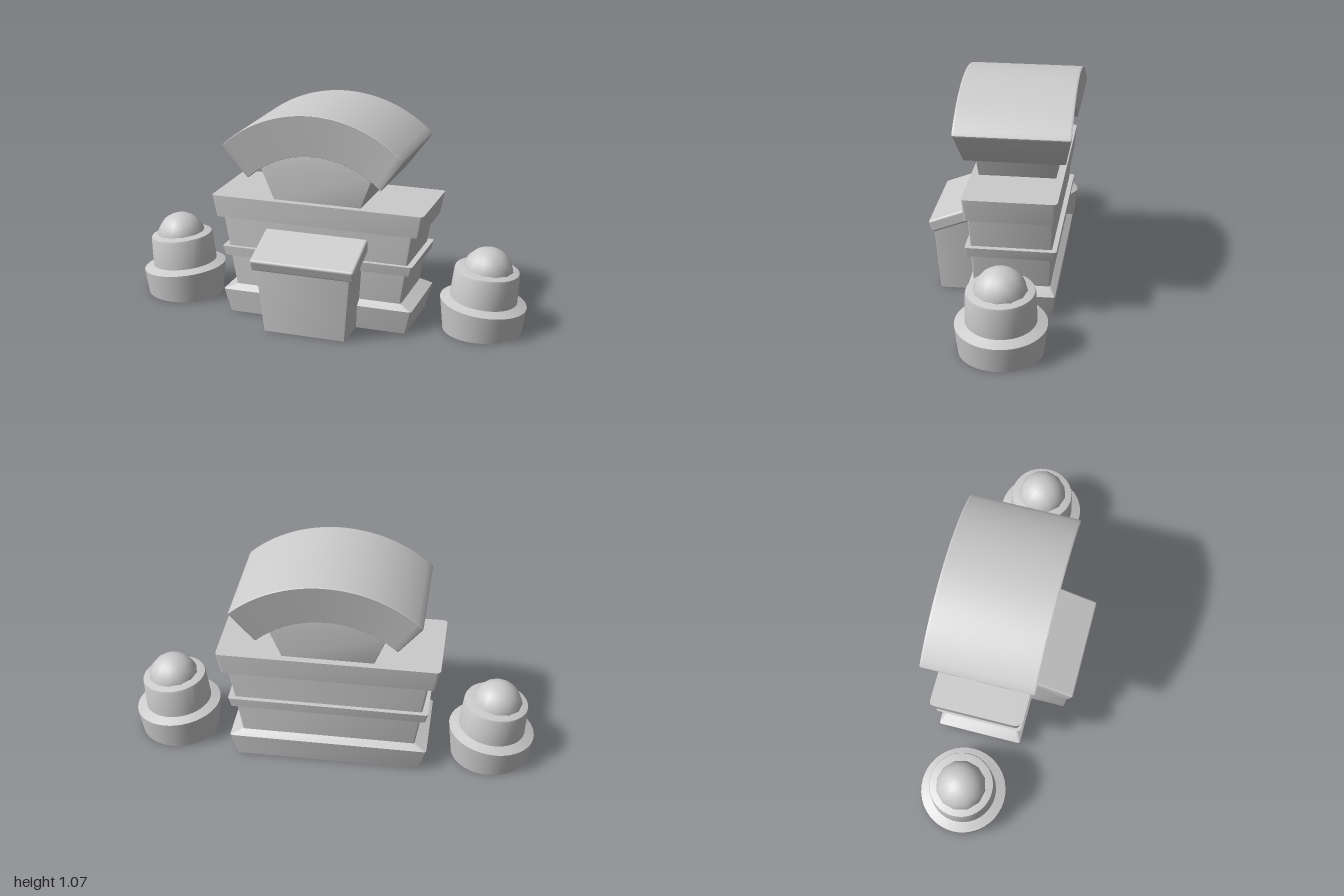
import * as THREE from 'three';
import { toCreasedNormals } from 'three/addons/utils/BufferGeometryUtils.js';
import { RoundedBoxGeometry } from 'three/addons/geometries/RoundedBoxGeometry.js';

const grey = new THREE.MeshStandardMaterial({ color: 0xcccccc, side: THREE.DoubleSide });
const CENTRE_Z = -0.075;

// Skin a series of equal-length rings, optionally closing either end.
function loft(rings, capStart = true, capEnd = true, crease = 0.5) {
  const n = rings[0].length, index = [];
  for (let r = 0; r < rings.length - 1; r++) {
    for (let i = 0; i < n; i++) {
      const j = (i + 1) % n, a = r * n + i, b = r * n + j;
      index.push(a, b, b + n, a, b + n, a + n);
    }
  }
  const last = (rings.length - 1) * n;
  for (let i = 1; i < n - 1; i++) {
    if (capStart) index.push(0, i + 1, i);
    if (capEnd) index.push(last, last + i, last + i + 1);
  }
  const geometry = new THREE.BufferGeometry();
  geometry.setAttribute('position', new THREE.Float32BufferAttribute(rings.flat(2), 3));
  geometry.setIndex(index);
  return toCreasedNormals(geometry, crease);
}

// Rounded rectangle as [u, v] pairs, running from +u towards -v.
function roundRect(hu, hv, c) {
  const points = [];
  for (let k = 0; k < 4; k++) {
    const su = k === 0 || k === 3 ? 1 : -1, sv = k < 2 ? 1 : -1;
    for (let s = 0; s <= 3; s++) {
      const a = (k + s / 3) * Math.PI / 2;
      points.push([su * (hu - c) + c * Math.cos(a), -(sv * (hv - c) + c * Math.sin(a))]);
    }
  }
  return points;
}

const level = (y, hx, hz, c = 0.012) =>
  roundRect(hx, hz, c).map(([x, z]) => [x, y, z + CENTRE_Z]);

// Curved roof block: narrower underneath, softly rounded at every edge.
function archGeometry() {
  const rings = [], steps = 32, soft = 0.008;
  const addRing = (t, inset) => {
    const a = t * 0.763;
    rings.push(roundRect(0.5 - inset * 5, 0.2725 - inset, 0.012).map(([u, z]) => {
      const k = u + 0.5;
      const x = THREE.MathUtils.lerp(0.483, 0.6525, k) * Math.sin(a);
      const y = THREE.MathUtils.lerp(0.372 + 0.483 * Math.cos(a), 0.4125 + 0.6525 * Math.cos(a), k);
      return [x, y, z * (0.875 + 0.125 * k) + CENTRE_Z];
    }));
  };
  addRing(1, soft);
  addRing(0.995, soft * 0.3);
  for (let i = 0; i <= steps; i++) addRing(0.98 * (1 - 2 * i / steps), 0);
  addRing(-0.995, soft * 0.3);
  addRing(-1, soft);
  return loft(rings, true, true, 0.6);
}

// Stepped round pot whose ledges rise towards the middle of the model.
function potGeometry(side) {
  // [height, radius, distance from middle, slope]
  const profile = [
    [0, 0.193, 0.788, 0], [0.132, 0.209, 0.79, 0.1], [0.142, 0.21, 0.79, 0.107],
    [0.16, 0.163, 0.79, 0.107], [0.3, 0.157, 0.803, 0.1],
    [0.308, 0.154, 0.804, 0.1], [0.32, 0.105, 0.805, 0.1],
  ];
  const rings = profile.map(([y, r, x, slope]) => Array.from({ length: 40 }, (_, i) => {
    const a = i / 40 * Math.PI * 2, dx = r * Math.cos(a);
    return [side * x + dx, y - side * slope * dx, CENTRE_Z - r * Math.sin(a)];
  }));
  return loft(rings, false, true, 0.45);
}

export function createModel() {
  const model = new THREE.Group();
  const add = (name, geometry, parent = model) => {
    const mesh = new THREE.Mesh(geometry, grey);
    mesh.name = name;
    parent.add(mesh);
    return mesh;
  };

  // Main building: hollow flared walls on a sloping plinth
  add('walls', loft([
    level(0, 0.455, 0.194), level(0.12, 0.485, 0.21), level(0.147, 0.425, 0.182),
    level(0.5, 0.48, 0.198),
  ], false, true));
  add('middleBand', loft([level(0.303, 0.473, 0.209), level(0.35, 0.485, 0.214)]));
  add('upperSlab', loft([level(0.5, 0.515, 0.212, 0.02), level(0.61, 0.535, 0.22, 0.02)]));
  add('neck', loft([level(0.6, 0.217, 0.184, 0.004), level(0.77, 0.283, 0.197, 0.004),
    level(0.87, 0.2, 0.197, 0.004)]));
  add('archedRoof', archGeometry());

  // Front porch with a sloping lid
  const porch = new THREE.Group();
  porch.name = 'porch';
  model.add(porch);
  const porchRing = (hx, front, yFront, yBack) => roundRect(hx, (front - 0.05) / 2, 0.006)
    .map(([x, z]) => {
      const pz = z + (front + 0.05) / 2;
      return [x, THREE.MathUtils.mapLinear(pz, 0.05, front, yBack, yFront), pz];
    });
  add('porchWalls', loft([porchRing(0.205, 0.302, 0, 0), porchRing(0.237, 0.326, 0.335, 0.435)],
    false, true), porch);
  const lid = add('porchLid', new RoundedBoxGeometry(0.52, 0.062, 0.32, 3, 0.012), porch);
  lid.position.set(0, 0.4, 0.19);
  lid.rotation.x = 0.365;

  // Domed pots at both sides
  for (const side of [1, -1]) {
    const pot = new THREE.Group();
    pot.name = side > 0 ? 'leftPot' : 'rightPot';
    model.add(pot);
    add('potBody', potGeometry(side), pot);
    const dome = add('dome', new THREE.SphereGeometry(0.124, 12, 10, 0, Math.PI * 2, 0, Math.PI / 2), pot);
    dome.position.set(side * 0.806, 0.293, CENTRE_Z);
  }
  return model;
}
